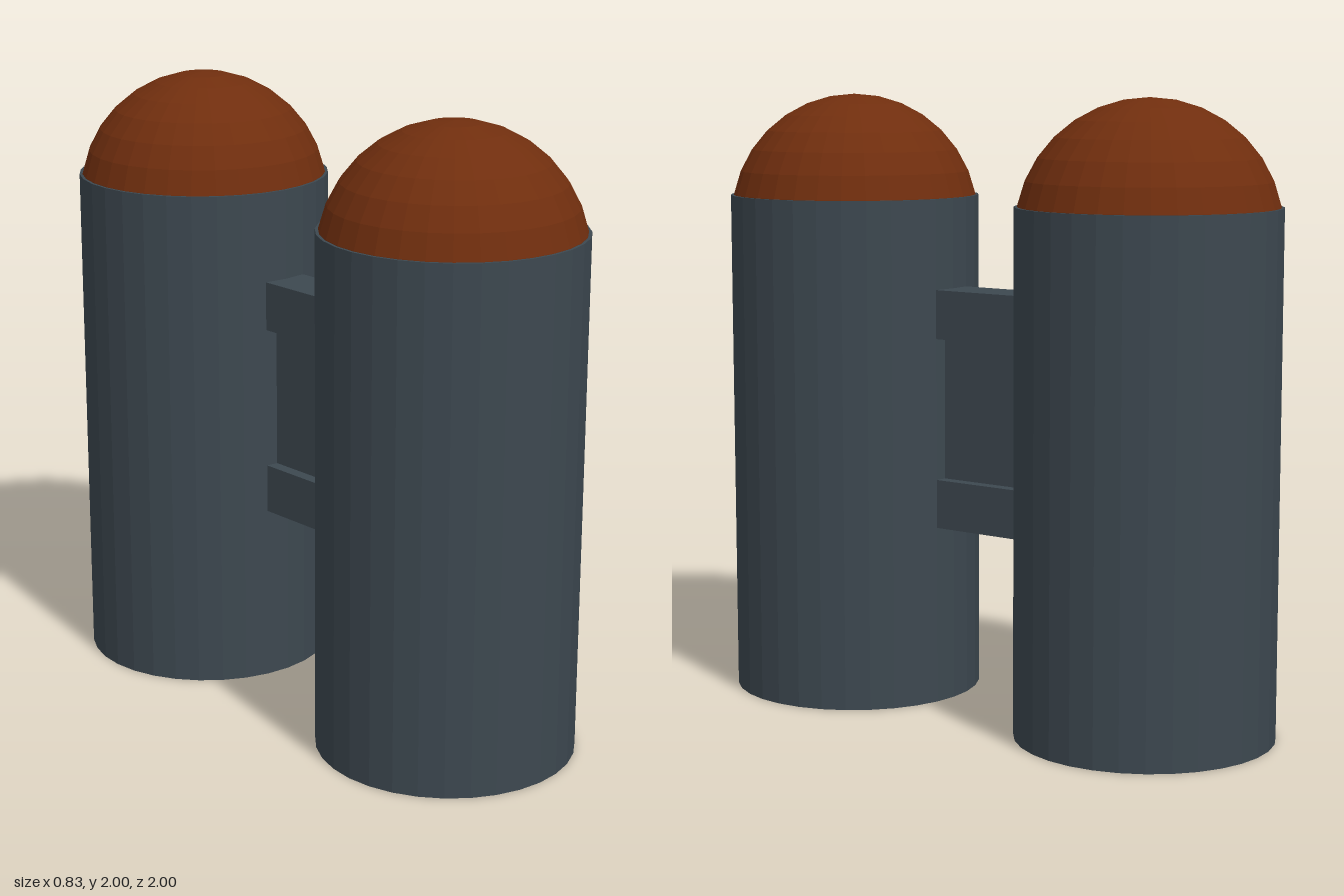
import * as THREE from 'three';

export function createModel() {
  const model = new THREE.Group();
  model.name = 'twinTubes';

  const slate = new THREE.MeshStandardMaterial({ color: 0x3d4850, flatShading: true });
  slate.name = 'slate grey';
  const rust = new THREE.MeshStandardMaterial({ color: 0x702e0e, flatShading: true });
  rust.name = 'rust orange';

  const add = (parent, name, geometry, material, y = 0) => {
    const mesh = new THREE.Mesh(geometry, material);
    mesh.name = name;
    mesh.position.y = y;
    parent.add(mesh);
    return mesh;
  };

  // Tube profile: recessed floor, sloping rim, straight wall, top lip
  const profile = [[0, 0.083], [0.29, 0.083], [0.414, 0], [0.414, 1.667], [0.36, 1.667]]
    .map(([r, y]) => new THREE.Vector2(r, y));
  const tubeGeometry = new THREE.LatheGeometry(profile, 32);
  const domeGeometry = new THREE.SphereGeometry(0.412, 32, 8, 0, Math.PI * 2, 0, Math.PI / 2);

  // Two domed tubes, front and back
  for (const [name, z] of [['frontTube', 0.586], ['backTube', -0.586]]) {
    const tube = new THREE.Group();
    tube.name = name;
    tube.position.z = z;
    add(tube, 'tubeBody', tubeGeometry, slate);
    add(tube, 'dome', domeGeometry, rust, 1.588);
    model.add(tube);
  }

  // Bridge: thin web between two thicker blocks
  const bridge = new THREE.Group();
  bridge.name = 'bridge';
  const blockGeometry = new THREE.BoxGeometry(0.16, 0.16, 0.37);
  add(bridge, 'upperBlock', blockGeometry, slate, 1.293);
  add(bridge, 'lowerBlock', blockGeometry, slate, 0.668);
  add(bridge, 'web', new THREE.BoxGeometry(0.08, 0.47, 0.37), slate, 0.98);
  model.add(bridge);

  return model;
}
